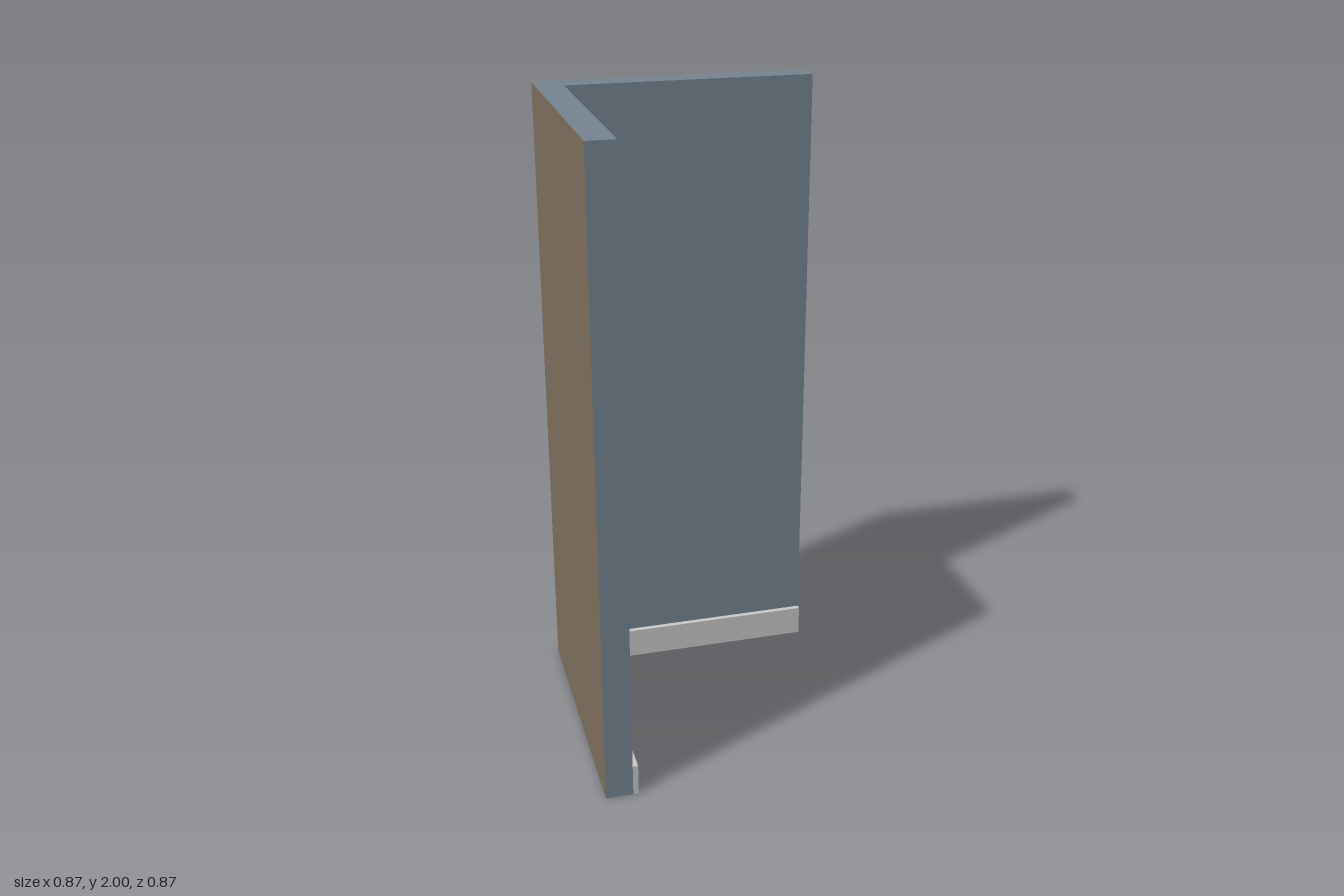
import * as THREE from 'three';

const EDGE = 0.433;    // half width of the corner footprint
const INNER = -0.348;  // inner face of the walls
const BOARD = -0.331;  // inner face of the skirting
const HEIGHT = 2;
const BOARD_HEIGHT = 0.1;

const flat = (name, color) => {
  const material = new THREE.MeshStandardMaterial({ color });
  material.name = name;
  return material;
};

// L-shaped prism standing on y = 0, running along the left and back edges
function cornerPrism(outer, inner, height) {
  const shape = new THREE.Shape([
    [outer, -EDGE], [inner, -EDGE], [inner, -inner],
    [EDGE, -inner], [EDGE, -outer], [outer, -outer],
  ].map(([x, y]) => new THREE.Vector2(x, y)));
  const geometry = new THREE.ExtrudeGeometry(shape, { depth: height, bevelEnabled: false });
  return geometry.rotateX(-Math.PI / 2);
}

// Give outward faces (towards -x and -z) the second material
function splitOuterFaces(geometry) {
  const normal = geometry.attributes.normal;
  geometry.clearGroups();
  for (let i = 0; i < normal.count; i += 3) {
    const outside = normal.getX(i) < -0.9 || normal.getZ(i) < -0.9;
    geometry.addGroup(i, 3, outside ? 1 : 0);
  }
  return geometry;
}

export function createModel() {
  const wallBlue = flat('slate wall', 0x778692);
  const outsideBrown = flat('brown exterior', 0x7f7161);
  const boardGrey = flat('light grey skirting', 0xcacaca);

  const model = new THREE.Group();
  model.name = 'wallCorner';

  // Two walls meeting at the back corner, with a brown exterior
  const walls = new THREE.Mesh(
    splitOuterFaces(cornerPrism(-EDGE, INNER, HEIGHT)), [wallBlue, outsideBrown]);
  walls.name = 'cornerWalls';

  // Skirting board along the foot of the inner faces
  const skirting = new THREE.Mesh(cornerPrism(INNER, BOARD, BOARD_HEIGHT), boardGrey);
  skirting.name = 'skirtingBoard';

  model.add(walls, skirting);
  return model;
}
